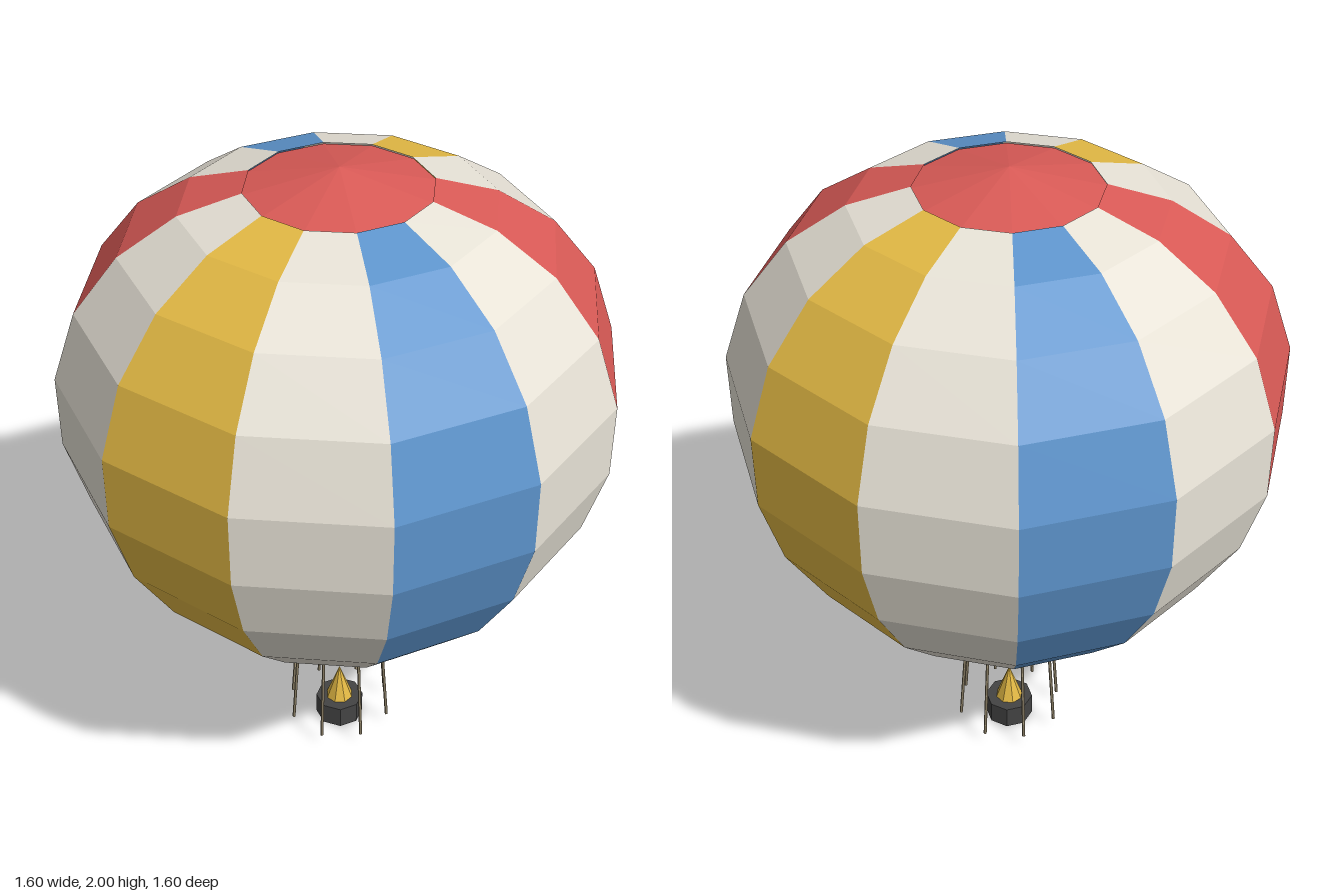
import * as THREE from 'three';

function makeMaterial(name, color, side = THREE.FrontSide) {
  const m = new THREE.MeshStandardMaterial({ color, side, flatShading: true });
  m.name = name;
  return m;
}

// Faceted mesh with its own normal per face
function addPart(parent, name, geometry, material) {
  const g = geometry.index ? geometry.toNonIndexed() : geometry;
  g.computeVertexNormals();
  const mesh = new THREE.Mesh(g, material);
  mesh.name = name;
  parent.add(mesh);
  return mesh;
}

export function createModel() {
  const model = new THREE.Group();
  model.name = 'hotAirBalloon';

  const red = makeMaterial('red', 0xd95a56, THREE.DoubleSide);
  const cream = makeMaterial('cream', 0xebe6da, THREE.DoubleSide);
  const yellow = makeMaterial('yellow', 0xe4ba45, THREE.DoubleSide);
  const blue = makeMaterial('blue', 0x5d94cc, THREE.DoubleSide);
  const rope = makeMaterial('rope', 0xa6987a);
  const charcoal = makeMaterial('charcoal', 0x444444);

  // Envelope: twelve gores, open at the mouth
  const profile = [
    [0.13, 0.472], [0.287, 0.518], [0.46, 0.627], [0.617, 0.79], [0.738, 0.99], [0.8, 1.2],
    [0.8, 1.42], [0.73, 1.624], [0.602, 1.785], [0.436, 1.893], [0.26, 1.945],
  ].map(([r, y]) => new THREE.Vector2(r, y));
  const pattern = [red, cream, yellow, cream, blue, cream];
  const envelope = new THREE.Group();
  envelope.name = 'envelope';
  model.add(envelope);
  for (let i = 0; i < 12; i++) {
    const start = Math.PI / 2 + (i * Math.PI) / 6;
    addPart(envelope, 'gore', new THREE.LatheGeometry(profile, 1, start, Math.PI / 6), pattern[i % 6]);
  }

  // Crown cap closing the top
  const cap = addPart(model, 'crownCap', new THREE.ConeGeometry(0.263, 0.06, 12, 1, true), red);
  cap.position.y = 1.97;

  // Eight ropes, spreading slightly outward towards the bottom
  const ropes = new THREE.Group();
  ropes.name = 'ropes';
  model.add(ropes);
  const up = new THREE.Vector3(0, 1, 0);
  for (let i = 0; i < 8; i++) {
    const a = (i * Math.PI) / 4;
    const low = new THREE.Vector3(Math.cos(a) * 0.165, 0.04, Math.sin(a) * 0.165);
    const high = new THREE.Vector3(Math.cos(a) * 0.133, 0.49, Math.sin(a) * 0.133);
    const dir = high.clone().sub(low);
    const mesh = addPart(ropes, 'rope', new THREE.CylinderGeometry(0.005, 0.005, dir.length(), 6), rope);
    mesh.position.copy(low).add(high).multiplyScalar(0.5);
    mesh.quaternion.setFromUnitVectors(up, dir.normalize());
  }

  // Octagonal burner base with a flat side to the front
  const base = addPart(model, 'burnerBase', new THREE.CylinderGeometry(0.076, 0.076, 0.075, 8), charcoal);
  base.position.y = 0.0375;
  base.rotation.y = Math.PI / 8;

  // Flame
  const flame = addPart(model, 'flame', new THREE.ConeGeometry(0.045, 0.13, 8), yellow);
  flame.position.y = 0.135;

  return model;
}
